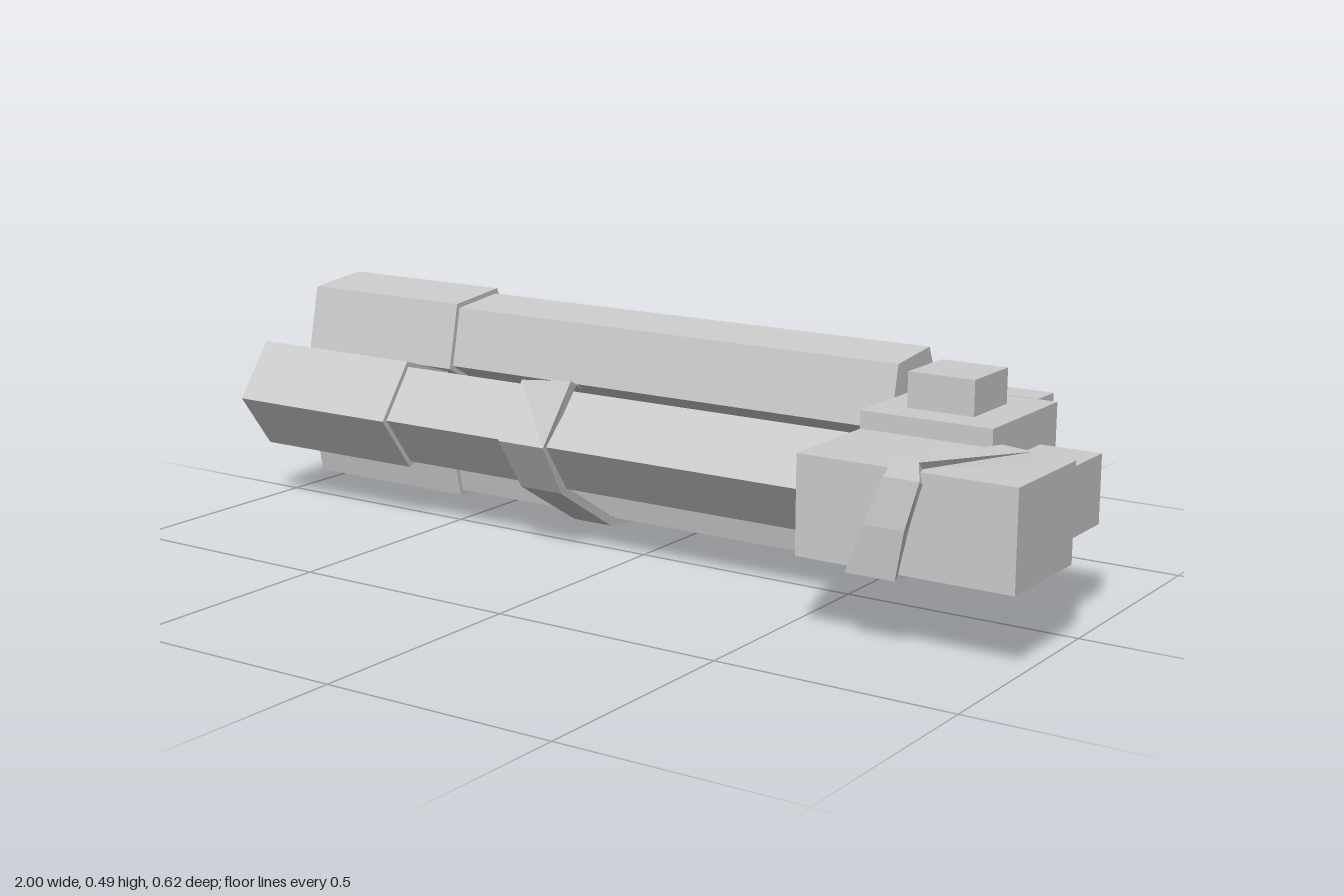
import * as THREE from 'three';

const grey = new THREE.MeshStandardMaterial({ color: 0xcccccc, flatShading: true });
const strapGrey = new THREE.MeshStandardMaterial({ color: 0xcccccc, flatShading: true, side: THREE.DoubleSide });

const AXIS = { y: 0.25, z: -0.105 }; // common axis of the three barrels

function add(parent, name, geometry, material = grey) {
  const mesh = new THREE.Mesh(geometry, material);
  mesh.name = name;
  parent.add(mesh);
  return mesh;
}

// Box given by its limits on each axis
function box(parent, name, [x0, x1], [y0, y1], [z0, z1]) {
  const mesh = add(parent, name, new THREE.BoxGeometry(x1 - x0, y1 - y0, z1 - z0));
  mesh.position.set((x0 + x1) / 2, (y0 + y1) / 2, (z0 + z1) / 2);
}

function pentagon(r) {
  return Array.from({ length: 5 }, (_, i) => {
    const a = Math.PI + (i * Math.PI * 2) / 5;
    return new THREE.Vector2(r * Math.cos(a), r * Math.sin(a));
  });
}

// Five-sided prism along x with one edge facing +z, optionally hollow
function prism(r, hole, x0, x1) {
  const shape = new THREE.Shape(pentagon(r));
  if (hole) shape.holes.push(new THREE.Path(pentagon(hole)));
  const g = new THREE.ExtrudeGeometry(shape, { depth: x1 - x0, bevelEnabled: false });
  return g.rotateY(Math.PI / 2).translate(x0, 0, 0.149);
}

// Band through rows of [z, y, x0, x1, optional z and y of the x1 edge], thickened towards a centre
function strap(parent, name, rows, centre, thickness = 0.022) {
  const pos = [];
  const index = [];
  const push = (x, y, z) => {
    const dy = centre.y - y;
    const dz = centre.z - z;
    const k = thickness / Math.hypot(dy, dz);
    pos.push(x, y, z, x, y + dy * k, z + dz * k);
  };
  rows.forEach(([z, y, x0, x1, z1 = z, y1 = y], i) => {
    push(x0, y, z);
    push(x1, y1, z1);
    if (i === 0) return;
    const a = (i - 1) * 4;
    const ring = [0, 2, 3, 1];
    ring.forEach((p, k) => {
      const q = ring[(k + 1) % 4];
      index.push(a + p, a + q, a + q + 4, a + p, a + q + 4, a + p + 4);
    });
  });
  const e = (rows.length - 1) * 4;
  index.push(0, 1, 3, 0, 3, 2, e, e + 2, e + 3, e, e + 3, e + 1);
  const g = new THREE.BufferGeometry();
  g.setAttribute('position', new THREE.Float32BufferAttribute(pos, 3));
  g.setIndex(index);
  const flat = g.toNonIndexed();
  flat.computeVertexNormals();
  add(parent, name, flat, strapGrey);
}

export function createModel() {
  const model = new THREE.Group();
  model.name = 'tripleBarrelArm';

  // Three barrels with hollow muzzles, evenly spaced round the axis
  for (let i = 0; i < 3; i++) {
    const barrel = new THREE.Group();
    barrel.name = 'barrel';
    barrel.position.set(0, AXIS.y, AXIS.z);
    barrel.rotation.x = (-i * Math.PI * 2) / 3;
    add(barrel, 'tube', prism(0.113, 0, -0.58, 0.545));
    add(barrel, 'muzzle', prism(0.126, 0.077, -1, -0.577));
    model.add(barrel);
  }

  // Block grip
  box(model, 'palm', [0.545, 0.83], [0.11, 0.397], [-0.238, 0.048]);
  for (const y of [0.11, 0.219, 0.328]) {
    box(model, 'finger', [0.545, 0.79], [y, y + 0.07], [-0.307, -0.238]);
  }
  box(model, 'topBlock', [0.61, 0.755], [0.397, 0.47], [-0.165, -0.022]);
  box(model, 'sideBlock', [0.83, 0.96], [0.183, 0.325], [-0.165, -0.022]);
  box(model, 'frontBlock', [0.545, 1], [0.16, 0.36], [0.048, 0.29]);

  // Strap over the front block, leaning sideways as it climbs
  strap(model, 'blockStrap', [
    [0.08, 0.378, 0.865, 0.94, 0.105, 0.38],
    [0.288, 0.377, 0.748, 0.8],
    [0.302, 0.345, 0.735, 0.81],
    [0.309, 0.25, 0.7, 0.785],
    [0.302, 0.15, 0.66, 0.765],
    [0.1, 0.137, 0.66, 0.765],
  ], { y: 0.26, z: 0.17 });

  // Strap round the front barrel and under the lower one
  strap(model, 'lowerStrap', [
    [-0.012, 0.342, -0.26, -0.135, 0.05, 0.365],
    [0.085, 0.368, -0.257, -0.118, 0.097, 0.384],
    [0.168, 0.25, -0.258, -0.14],
    [0.1, 0.137, -0.25, -0.145],
    [-0.09, 0.022, -0.25, -0.15],
    [-0.24, 0.002, -0.25, -0.15],
    [-0.264, 0.046, -0.25, -0.15],
  ], AXIS);

  // Strap across the backs of the two rear barrels
  strap(model, 'backStrap', [
    [-0.252, 0.468, -0.257, -0.137],
    [-0.302, 0.358, -0.257, -0.135],
    [-0.302, 0.142, -0.252, -0.14],
    [-0.286, 0.095, -0.25, -0.145],
  ], AXIS);

  return model;
}
